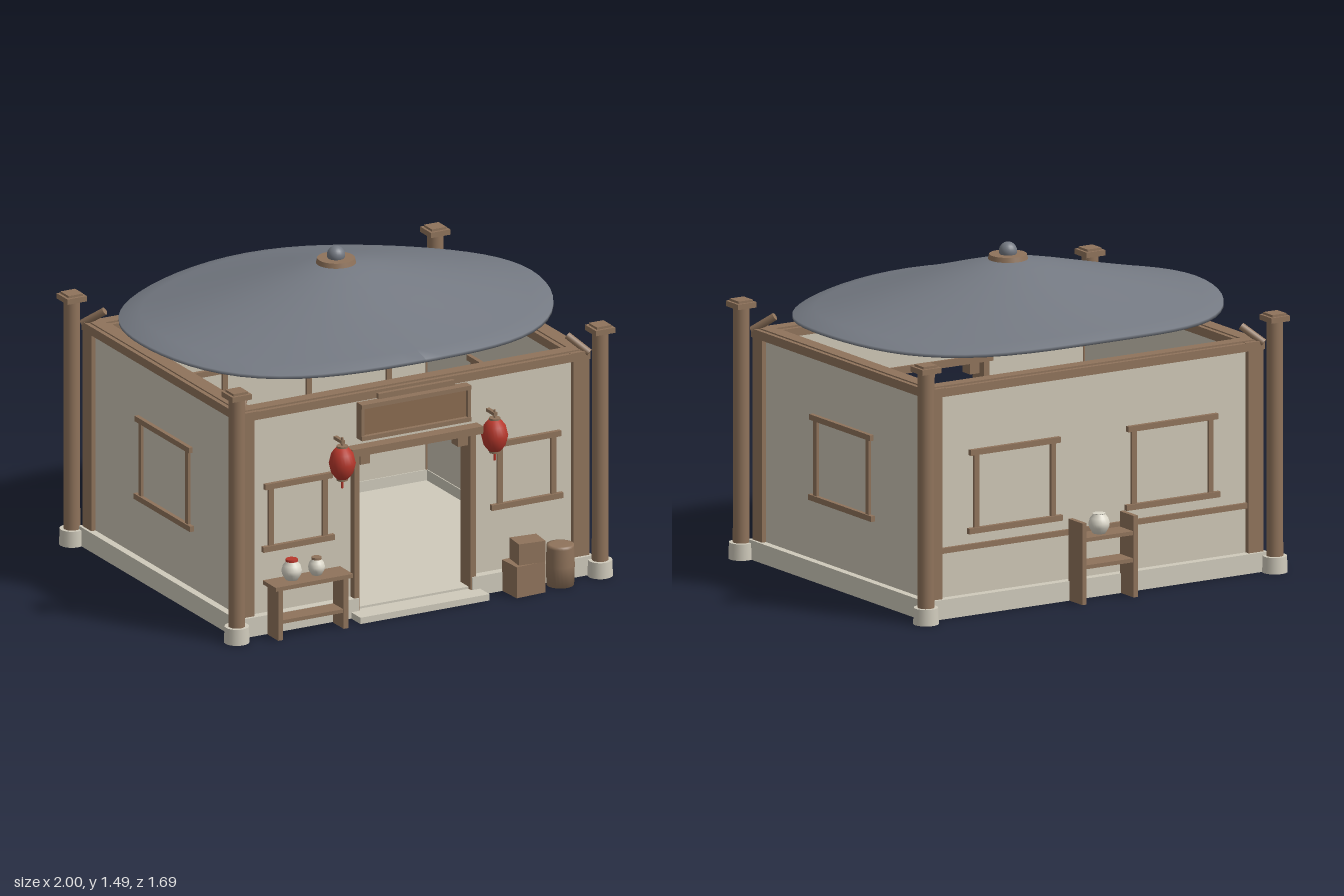
import * as THREE from 'three';

const mat = (name, color, extra = {}) => new THREE.MeshStandardMaterial({ name, color, ...extra });

export function createModel() {
  const model = new THREE.Group();
  model.name = 'pavilionShop';
  const wood = mat('wood', 0x8f735b);
  const board = mat('signWood', 0x8a6b50);
  const wall = mat('plaster', 0xcdc6b5);
  const stone = mat('stone', 0xcfcabb);
  const slate = mat('slate', 0x747982);
  const red = mat('red', 0xb8382c);
  const ceramic = mat('ceramic', 0xdcd8ca);
  const CZ = -0.01; // centre line of the building

  const add = (name, geo, m, x = 0, y = 0, z = 0, parent = model) => {
    const mesh = new THREE.Mesh(geo, m);
    mesh.name = name;
    mesh.position.set(x, y, z);
    parent.add(mesh);
    return mesh;
  };
  // box given by its lower and upper limits
  const span = (name, m, x0, x1, y0, y1, z0, z1, parent = model) =>
    add(name, new THREE.BoxGeometry(x1 - x0, y1 - y0, z1 - z0), m,
      (x0 + x1) / 2, (y0 + y1) / 2, (z0 + z1) / 2, parent);
  const cyl = (name, m, r0, r1, h, x, y, z, parent = model, seg = 20) =>
    add(name, new THREE.CylinderGeometry(r1, r0, h, seg), m, x, y, z, parent);
  const rod = (name, m, a, b, r, parent = model) => {
    const d = b.clone().sub(a);
    const mesh = cyl(name, m, r, r, d.length(), 0, 0, 0, parent, 8);
    mesh.position.copy(a).add(b).multiplyScalar(0.5);
    mesh.quaternion.setFromUnitVectors(new THREE.Vector3(0, 1, 0), d.normalize());
    return mesh;
  };
  const lathe = (name, m, pts, x, y, z, parent = model) =>
    add(name, new THREE.LatheGeometry(pts.map(p => new THREE.Vector2(...p)), 24), m, x, y, z, parent);

  // floor, plinth and door step
  span('floor', stone, -0.88, 0.88, 0, 0.04, -0.72, 0.70);
  for (const s of [-1, 1]) {
    span('sidePlinth', stone, s * 0.865 - 0.045, s * 0.865 + 0.045, 0, 0.09, -0.745, 0.725);
    span('frontPlinth', stone, s > 0 ? 0.29 : -0.82, s > 0 ? 0.82 : -0.29, 0, 0.09, 0.63, 0.725);
  }
  span('backPlinth', stone, -0.82, 0.82, 0, 0.09, -0.745, -0.65);
  span('doorStep', stone, -0.33, 0.33, 0, 0.03, 0.70, 0.81);

  // plaster walls, with the doorway left open
  for (const s of [-1, 1]) {
    span('sideWall', wall, s * 0.85 - 0.025, s * 0.85 + 0.025, 0.09, 1.02, -0.69, 0.67);
    span('frontWall', wall, s > 0 ? 0.29 : -0.85, s > 0 ? 0.85 : -0.29, 0.09, 1.02, 0.635, 0.685);
  }
  span('wallOverDoor', wall, -0.29, 0.29, 0.78, 1.02, 0.635, 0.685);
  span('backWall', wall, -0.85, 0.85, 0.04, 1.02, -0.705, -0.655);

  // wall-top beams in two tiers
  for (const s of [-1, 1]) {
    span('sideBeam', wood, s * 0.85 - 0.05, s * 0.85 + 0.05, 1.02, 1.06, -0.735, 0.715);
    const z = CZ + s * 0.675;
    span('endBeam', wood, -0.9, 0.9, 1.02, 1.058, z - 0.05, z + 0.05);
    span('sideTopRail', wood, s * 0.85 - 0.03, s * 0.85 + 0.03, 1.055, 1.066, -0.7, 0.68);
    span('endTopRail', wood, -0.87, 0.87, 1.055, 1.066, z - 0.03, z + 0.03);
  }

  // corner columns, pilasters and braces
  for (const sx of [-1, 1]) for (const sz of [-1, 1]) {
    const corner = new THREE.Group();
    corner.name = 'cornerColumn';
    model.add(corner);
    const x = sx * 0.93, z = CZ + sz * 0.76;
    cyl('columnBase', stone, 0.058, 0.055, 0.075, x, 0.0375, z, corner);
    cyl('column', wood, 0.038, 0.037, 1.1, x, 0.61, z, corner);
    add('columnCap', new THREE.BoxGeometry(0.1, 0.025, 0.1), wood, x, 1.168, z, corner);
    add('capTop', new THREE.BoxGeometry(0.075, 0.012, 0.075), wood, x, 1.185, z, corner);
    add('pilaster', new THREE.BoxGeometry(0.08, 0.94, 0.08), wood, sx * 0.857, 0.56, CZ + sz * 0.68, corner);
    rod('brace', wood, new THREE.Vector3(sx * 0.895, 1.05, CZ + sz * 0.725),
      new THREE.Vector3(sx * 0.825, 1.12, CZ + sz * 0.645), 0.018, corner);
  }

  // window frames that pass through the wall
  const windowFrame = (x, y, z, w, h, turn) => {
    const g = new THREE.Group();
    g.name = 'windowFrame';
    g.position.set(x, y, z);
    g.rotation.y = turn;
    for (const s of [-1, 1]) {
      const bar = s < 0 ? w + 0.09 : w + 0.07;
      span(s < 0 ? 'windowSill' : 'windowHead', wood, -bar / 2, bar / 2, s * h / 2 - 0.013, s * h / 2 + 0.013, -0.045, 0.045, g);
      span('windowJamb', wood, s * w / 2 - 0.013, s * w / 2 + 0.013, -h / 2, h / 2, -0.038, 0.038, g);
    }
    model.add(g);
  };
  for (const s of [-1, 1]) {
    windowFrame(s * 0.585, 0.54, 0.66, 0.275, 0.295, 0);
    windowFrame(s * 0.42, 0.56, -0.68, 0.41, 0.36, Math.PI);
    windowFrame(s * 0.85, 0.56, -0.005, 0.43, 0.37, s * Math.PI / 2);
  }
  span('backRail', wood, -0.82, 0.82, 0.295, 0.32, -0.72, -0.7);

  // door frame and sign board
  for (const s of [-1, 1]) {
    span('doorJamb', wood, s * 0.298 - 0.014, s * 0.298 + 0.014, 0.03, 0.78, 0.625, 0.72);
    span('doorBracket', wood, s * 0.25 - 0.025, s * 0.25 + 0.025, 0.715, 0.77, 0.65, 0.71);
    span('signFrameSide', wood, s * 0.272 - 0.008, s * 0.272 + 0.008, 0.845, 0.995, 0.685, 0.73);
    span('signFrameRail', wood, -0.28, 0.28, 0.92 + s * 0.075 - 0.01, 0.92 + s * 0.075 + 0.01, 0.685, 0.735);
  }
  span('doorLintel', wood, -0.335, 0.335, 0.77, 0.805, 0.625, 0.745);
  span('signBoard', board, -0.268, 0.268, 0.85, 0.99, 0.685, 0.715);
  span('signHanger', wood, -0.195, 0.195, 1.02, 1.045, 0.7, 0.735);

  // hanging lanterns
  for (const s of [-1, 1]) {
    const g = new THREE.Group();
    g.name = 'lantern';
    g.position.set(s * 0.39, 0.757, 0.75);
    model.add(g);
    lathe('lanternBody', red, [[0, -0.075], [0.028, -0.073], [0.05, -0.045], [0.061, 0],
      [0.05, 0.045], [0.028, 0.073], [0, 0.075]], 0, 0, 0, g);
    for (const e of [-1, 1]) cyl('lanternCap', wood, 0.026, 0.026, 0.014, 0, e * 0.075, 0, g);
    cyl('lanternTassel', red, 0.006, 0.006, 0.045, 0, -0.097, 0, g, 8);
    cyl('lanternCord', wood, 0.005, 0.005, 0.04, 0, 0.1, 0, g, 8);
    span('lanternArm', wood, -0.009, 0.009, 0.093, 0.108, -0.07, 0.01, g);
  }

  // wavy oval roof shell
  const lift = (r, a) => 0.012 * r * r * Math.cos(4 * a);
  const profile = [[0, 1.385], [0.2, 1.362], [0.5, 1.285], [0.8, 1.212], [0.97, 1.172], [1, 1.174],
    [1, 1.19], [0.9, 1.213], [0.8, 1.237], [0.65, 1.274], [0.5, 1.312], [0.35, 1.35], [0.2, 1.385], [0.1, 1.402], [0, 1.41]];
  const roofGeo = new THREE.LatheGeometry(profile.map(p => new THREE.Vector2(...p)), 64);
  const p = roofGeo.attributes.position;
  for (let i = 0; i < p.count; i++) {
    const x = p.getX(i), z = p.getZ(i), r = Math.hypot(x, z), a = Math.atan2(z, x);
    const k = 1 + 0.01 * (1 - Math.cos(4 * a));
    p.setXYZ(i, x * k, p.getY(i) + lift(r, a), z * k * 0.825);
  }
  roofGeo.computeVertexNormals();
  add('roof', roofGeo, slate, 0, 0, CZ);
  for (let i = 0; i < 8; i++) {
    const a = i * Math.PI / 4;
    const at = (r, y) => new THREE.Vector3(r * Math.cos(a), y + lift(r, a), CZ + r * Math.sin(a) * 0.825);
    rod('rafter', wood, at(0.3, 1.325), at(0.92, 1.17), 0.011);
  }

  // roof finial
  cyl('finialDisc', wood, 0.09, 0.085, 0.022, 0, 1.42, CZ, model, 32);
  cyl('finialNeck', wood, 0.04, 0.03, 0.03, 0, 1.43, CZ);
  add('finialBall', new THREE.SphereGeometry(0.041, 20, 14), slate, 0, 1.445, CZ);

  // display table with two jars
  span('tableTop', wood, -0.78, -0.385, 0.238, 0.257, 0.72, 0.84);
  span('tableShelf', wood, -0.75, -0.415, 0.075, 0.092, 0.735, 0.825);
  for (const x of [-0.75, -0.415]) span('tableLeg', wood, x - 0.012, x + 0.012, 0, 0.24, 0.73, 0.83);
  const jar = (x, y, z, r, h, rim) => {
    lathe('jar', ceramic, [[0, 0], [r * 0.6, 0], [r * 0.95, h * 0.3], [r, h * 0.5], [r * 0.85, h * 0.75],
      [r * 0.55, h * 0.92], [r * 0.6, h * 0.97], [0, h * 0.97]], x, y, z);
    if (rim) cyl('jarLid', rim, r * 0.62, r * 0.6, 0.01, x, y + h, z);
  };
  jar(-0.66, 0.257, 0.77, 0.046, 0.092, red);
  jar(-0.53, 0.257, 0.765, 0.038, 0.078, wood);

  // crates and barrel
  span('lowerCrate', wood, 0.447, 0.6, 0, 0.147, 0.715, 0.84).rotation.y = 0.06;
  span('upperCrate', wood, 0.475, 0.605, 0.147, 0.247, 0.73, 0.835).rotation.y = -0.1;
  lathe('barrel', wood, [[0, 0], [0.062, 0], [0.065, 0.095], [0.062, 0.178], [0.062, 0.178],
    [0.062, 0.19], [0.05, 0.192], [0, 0.192]], 0.715, 0, 0.77);

  // storage rack against the back wall
  for (const x of [-0.137, 0.137]) span('rackSide', wood, x - 0.011, x + 0.011, 0, 0.375, -0.85, -0.735);
  for (const y of [0.17, 0.295]) span('rackShelf', wood, -0.13, 0.13, y - 0.009, y + 0.009, -0.845, -0.735);
  jar(0.02, 0.304, -0.79, 0.048, 0.095, null);

  return model;
}
